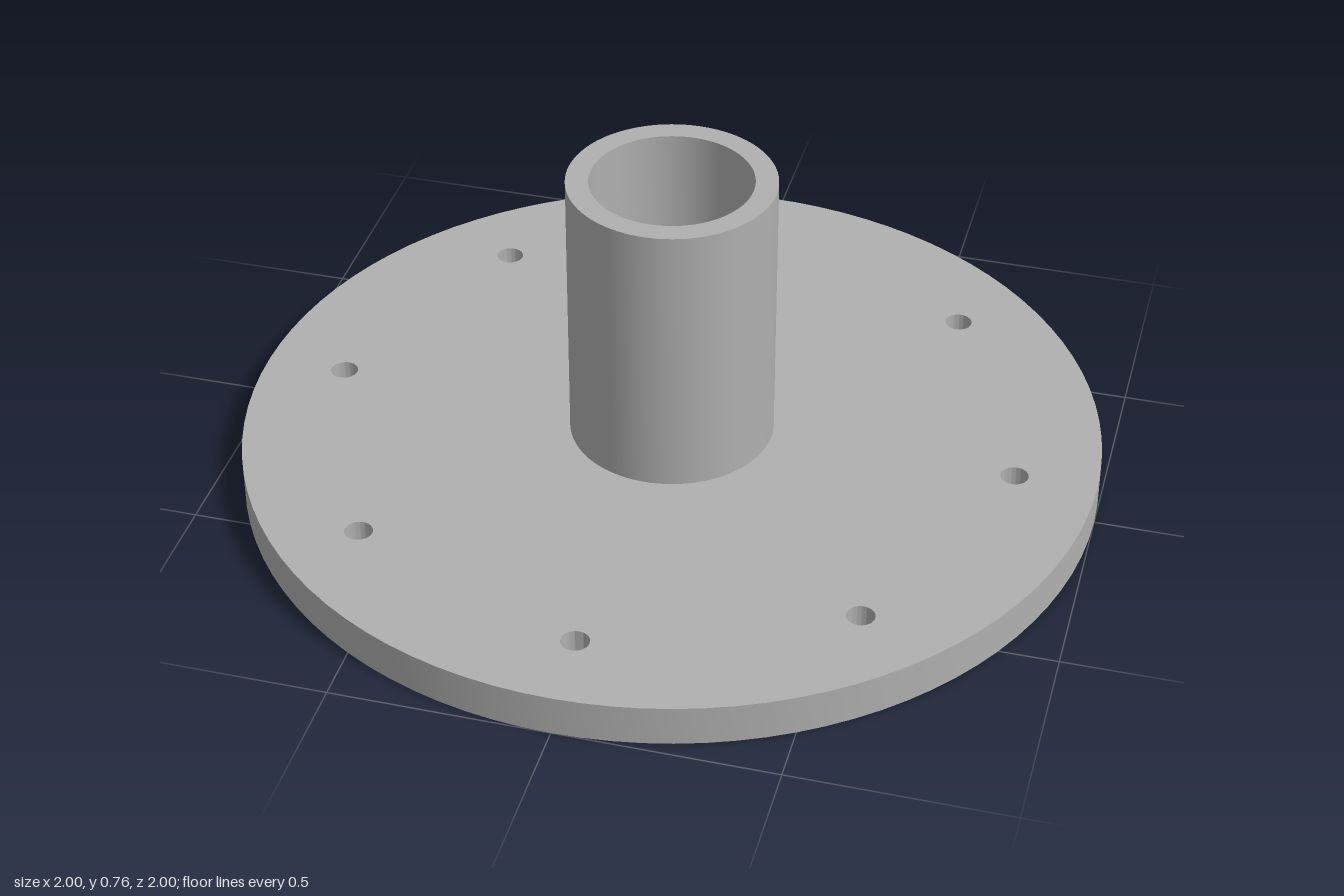
import * as THREE from 'three';
import { toCreasedNormals } from 'three/addons/utils/BufferGeometryUtils.js';

const PLATE_H = 0.097;

export function createModel() {
  const model = new THREE.Group();
  model.name = 'flangedTube';
  const metal = new THREE.MeshStandardMaterial({ color: 0xb0b0b0 });
  metal.name = 'grey metal';

  const add = (name, geometry) => {
    const mesh = new THREE.Mesh(toCreasedNormals(geometry, 0.6), metal);
    mesh.name = name;
    model.add(mesh);
  };

  // Round base plate with its drilled holes
  const disc = new THREE.Shape();
  disc.absarc(0, 0, 1, 0, Math.PI * 2, false);
  const drill = (x, y, r) => {
    const hole = new THREE.Path();
    hole.absarc(x, y, r, 0, Math.PI * 2, true);
    disc.holes.push(hole);
  };
  const drillRing = (count, ringRadius, r, start) => {
    for (let i = 0; i < count; i++) {
      const a = start + (i / count) * Math.PI * 2;
      drill(Math.cos(a) * ringRadius, Math.sin(a) * ringRadius, r);
    }
  };
  drillRing(8, 0.81, 0.032, 0); // outer mounting holes
  drillRing(4, 0.19, 0.026, Math.PI / 4); // screw holes under the tube
  drill(0, 0, 0.064); // centre hole under the tube

  const plate = new THREE.ExtrudeGeometry(disc, {
    depth: PLATE_H, bevelEnabled: false, curveSegments: 48,
  });
  plate.rotateX(-Math.PI / 2);
  add('basePlate', plate);

  // Upright tube, open on top, its closed foot covering the inner holes
  const profile = [
    [0, PLATE_H], [0.238, PLATE_H], [0.238, 0.765],
    [0.186, 0.765], [0.186, 0.15], [0, 0.15],
  ].map(([r, y]) => new THREE.Vector2(r, y));
  add('tube', new THREE.LatheGeometry(profile, 96));

  return model;
}
